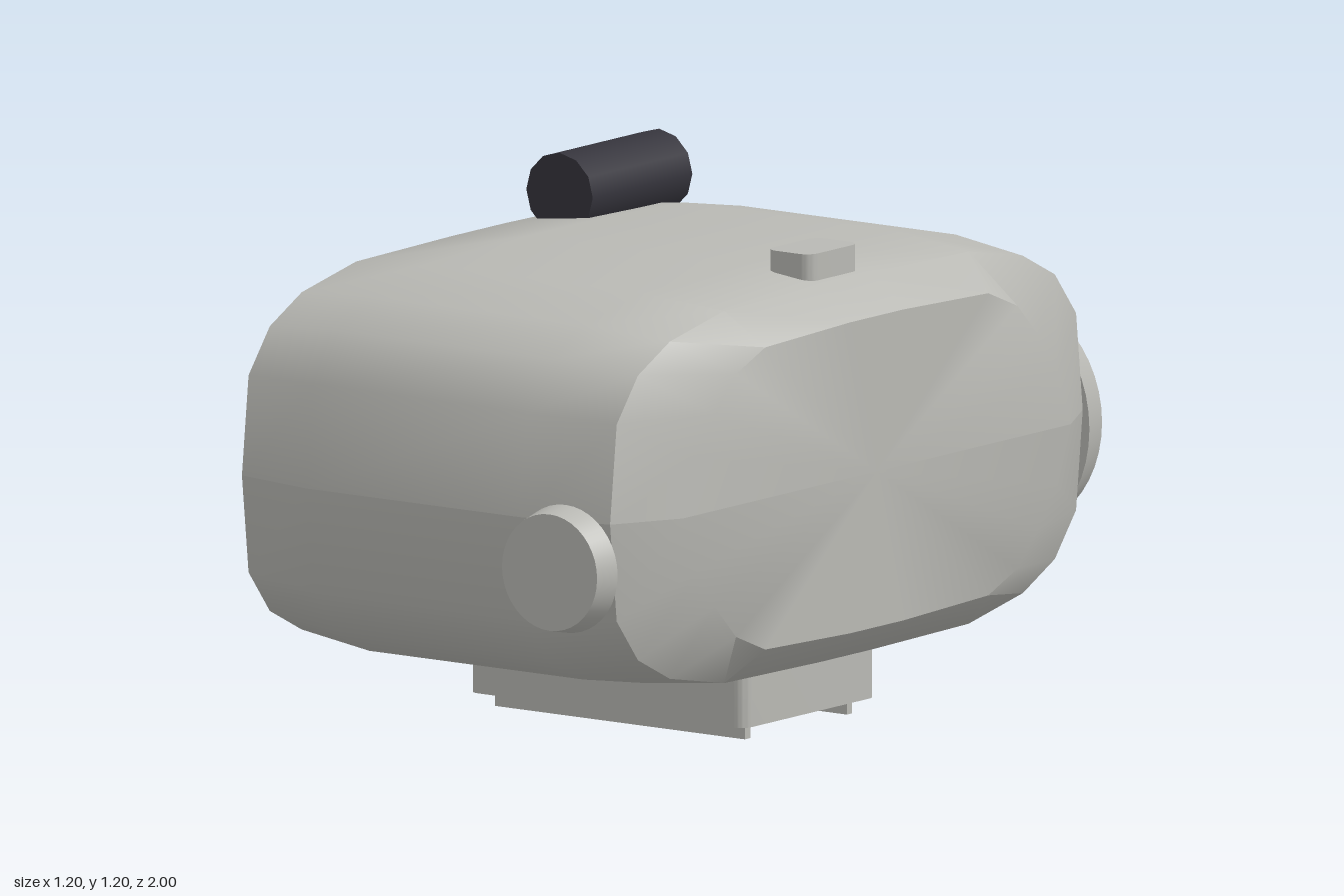
import * as THREE from 'three';
import { toCreasedNormals } from 'three/addons/utils/BufferGeometryUtils.js';

// Quarter cross-sections [depth, height] of the housing at each distance from the middle
const SECTIONS = [
  { x: 0.3, pts: [[0.935, 0], [0.91, 0.235], [0.825, 0.345], [0.7, 0.405], [0.48, 0.445], [0.1, 0.455]] },
  { x: 0.515, pts: [[0.89, 0], [0.865, 0.225], [0.785, 0.325], [0.665, 0.385], [0.46, 0.425], [0.1, 0.43]] },
  { x: 0.6, pts: [[0.73, 0], [0.68, 0.13], [0.61, 0.22], [0.53, 0.3], [0.42, 0.345], [0.1, 0.355]] },
];

// Upper half of the housing: arched sections lofted along x, with flat ends
function shellGeometry() {
  const arch = ({ x, pts }, side) => [
    ...pts.map(([z, y]) => [side * x, y, z]),
    ...[...pts].reverse().map(([z, y]) => [side * x, y, -z]),
  ];
  const rings = [
    ...[...SECTIONS].reverse().map((s) => arch(s, -1)),
    ...SECTIONS.map((s) => arch(s, 1)),
  ];
  const pos = [];
  const tri = (...corners) => corners.forEach((c) => pos.push(...c));
  const first = rings[0], last = rings[rings.length - 1];
  for (let j = 0; j < first.length - 1; j++) {
    for (let i = 0; i < rings.length - 1; i++) {
      const a = rings[i], b = rings[i + 1];
      tri(a[j], b[j], b[j + 1]);
      tri(a[j], b[j + 1], a[j + 1]);
    }
    tri([first[0][0], 0, 0], first[j], first[j + 1]);
    tri([last[0][0], 0, 0], last[j + 1], last[j]);
  }
  const geo = new THREE.BufferGeometry();
  geo.setAttribute('position', new THREE.Float32BufferAttribute(pos, 3));
  return toCreasedNormals(geo, 0.7);
}

// Upright block with rounded vertical corners, from y0 to y1
function roundedBlock(x0, x1, z0, z1, y0, y1, r) {
  const s = new THREE.Shape();
  s.moveTo(x0 + r, -z1);
  s.lineTo(x1 - r, -z1);
  s.absarc(x1 - r, -z1 + r, r, -Math.PI / 2, 0);
  s.absarc(x1 - r, -z0 - r, r, 0, Math.PI / 2);
  s.absarc(x0 + r, -z0 - r, r, Math.PI / 2, Math.PI);
  s.absarc(x0 + r, -z1 + r, r, Math.PI, Math.PI * 1.5);
  const geo = new THREE.ExtrudeGeometry(s, { depth: y1 - y0, bevelEnabled: false, curveSegments: 5 });
  geo.rotateX(-Math.PI / 2).translate(0, y0, 0);
  return toCreasedNormals(geo, 0.7);
}

export function createModel() {
  const group = new THREE.Group();
  const casing = new THREE.MeshStandardMaterial({ color: 0xb9b9b4 });
  casing.name = 'casing grey';
  const dark = new THREE.MeshStandardMaterial({ color: 0x35343c });
  dark.name = 'dark grip';

  const add = (name, geo, mat, x = 0, y = 0, z = 0) => {
    const mesh = new THREE.Mesh(geo, mat);
    mesh.name = name;
    mesh.position.set(x, y, z);
    group.add(mesh);
    return mesh;
  };

  // Housing halves meet at the seam
  const shell = shellGeometry();
  add('upperShell', shell, casing, 0, 0.615, 0.01);
  add('lowerShell', shell, casing, 0, 0.615, 0.01).rotation.x = Math.PI;

  // Tapered round caps at the front and back
  const frontCap = new THREE.CylinderGeometry(0.133, 0.146, 0.06, 40).rotateX(Math.PI / 2);
  add('frontCap', frontCap, casing, 0.42, 0.51, 0.97);
  const backCap = new THREE.CylinderGeometry(0.27, 0.297, 0.084, 48).rotateX(-Math.PI / 2);
  add('backCap', backCap, casing, 0.21, 0.565, -0.958);

  // Roller and button on the top
  const roller = new THREE.CylinderGeometry(0.093, 0.093, 0.375, 12).rotateX(Math.PI / 2);
  add('topRoller', roller, dark, -0.425, 1.11, -0.3625);
  add('topButton', roundedBlock(0.36, 0.485, -0.083, 0.107, 1.03, 1.11, 0.03), casing);

  // Foot plate with two rails and a hollow socket
  add('footPlate', roundedBlock(-0.353, 0.42, -0.235, 0.268, 0.045, 0.2, 0.03), casing);
  for (const [name, z] of [['frontRail', 0.207], ['backRail', -0.177]]) {
    add(name, new THREE.BoxGeometry(0.7, 0.04, 0.02), casing, 0.035, 0.03, z);
  }
  const wall = [[0.03, 0.05], [0.03, 0], [0.038, 0], [0.038, 0.05]].map(([r, y]) => new THREE.Vector2(r, y));
  const socket = toCreasedNormals(new THREE.LatheGeometry(wall, 8), 0.5);
  add('footSocket', socket, casing, -0.212, 0, 0.015);

  return group;
}
